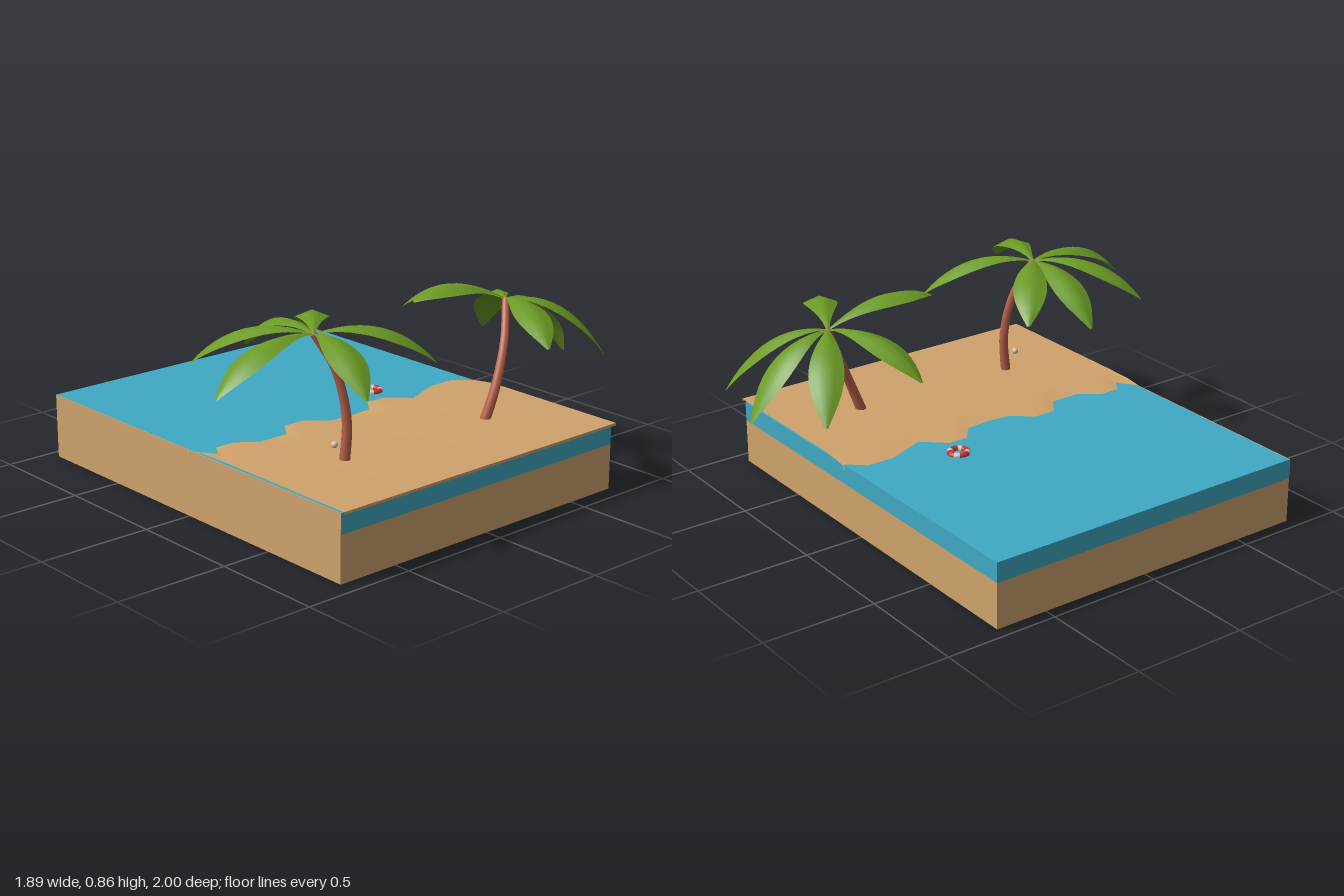
import * as THREE from 'three';
import { toCreasedNormals } from 'three/addons/utils/BufferGeometryUtils.js';

const mat = (color, side = THREE.FrontSide) => new THREE.MeshStandardMaterial({ color, side });
const SAND = mat(0xd0a36c, THREE.DoubleSide);
const WATER = mat(0x3fa9c4);
const WOOD = mat(0xb8604a);
const LEAF = mat(0x6b9a24, THREE.DoubleSide);
const RED = mat(0xc8352c);
const WHITE = mat(0xcccccc);
const ORANGE = mat(0xd9731f);
const SHELL = mat(0xd8c4ae);
const V = (x, y, z) => new THREE.Vector3(x, y, z);

function add(parent, name, geometry, material, x = 0, y = 0, z = 0) {
  const mesh = new THREE.Mesh(geometry, material);
  mesh.name = name;
  mesh.position.set(x, y, z);
  parent.add(mesh);
}

// Surface through rows of points
function grid(rows) {
  const n = rows[0].length;
  const index = [];
  for (let r = 0; r < rows.length - 1; r++) {
    for (let c = 0; c < n - 1; c++) {
      const a = r * n + c;
      index.push(a, a + 1, a + n, a + 1, a + n + 1, a + n);
    }
  }
  const g = new THREE.BufferGeometry().setFromPoints(rows.flat());
  g.setIndex(index);
  g.computeVertexNormals();
  return g;
}

// Horizontal outline extruded upwards from y = 0
function slab(points, height, hole) {
  const toShape = (list) => list.map(([x, z]) => new THREE.Vector2(x, -z));
  const shape = new THREE.Shape(toShape(points));
  if (hole) shape.holes.push(new THREE.Path(toShape(hole)));
  return new THREE.ExtrudeGeometry(shape, { depth: height, bevelEnabled: false }).rotateX(-Math.PI / 2);
}

const rect = (x0, x1, z0, z1) => [[x0, z0], [x1, z0], [x1, z1], [x0, z1]];

// Trunk that follows a curve and narrows towards the crown
function trunkGeometry(points) {
  const curve = new THREE.CatmullRomCurve3(points);
  const segments = 14, sides = 10;
  const g = new THREE.TubeGeometry(curve, segments, 0.023, sides);
  const p = g.attributes.position;
  for (let i = 0; i < p.count; i++) {
    const t = Math.floor(i / (sides + 1)) / segments;
    const c = curve.getPointAt(t);
    const v = new THREE.Vector3().fromBufferAttribute(p, i).sub(c).multiplyScalar(1 - 0.35 * t).add(c);
    p.setXYZ(i, v.x, v.y, v.z);
  }
  g.computeVertexNormals();
  return g;
}

// Arched, pointed frond with a raised midrib, from crown to tip
function frondGeometry(crown, tip) {
  const lift = (tip.y - crown.y) * 0.4 + 0.15;
  const bend = crown.clone().lerp(tip, 0.6).setY(crown.y + lift);
  const curve = new THREE.QuadraticBezierCurve3(crown, bend, tip);
  const side = V(tip.x - crown.x, 0, tip.z - crown.z).normalize().cross(V(0, 1, 0));
  const rows = [];
  for (let i = 0; i <= 12; i++) {
    const t = i / 12;
    const half = 0.006 + 0.068 * Math.sin(Math.PI * Math.pow(t, 1.25));
    const c = curve.getPoint(t);
    rows.push([-1, -0.5, 0, 0.5, 1].map((s) =>
      c.clone().addScaledVector(side, s * half).add(V(0, -Math.abs(s) * half * 0.4, 0))));
  }
  return grid(rows);
}

function palm(name, trunk, tips) {
  const group = new THREE.Group();
  group.name = name;
  const crown = trunk[trunk.length - 1];
  add(group, 'trunk', trunkGeometry(trunk), WOOD);
  add(group, 'crownBud', new THREE.SphereGeometry(0.014, 10, 8), WOOD, crown.x, crown.y - 0.006, crown.z);
  tips.forEach((t) => add(group, 'frond', frondGeometry(crown, V(...t)), LEAF));
  return group;
}

export function createModel() {
  const model = new THREE.Group();
  model.name = 'beachScene';

  // Hollow base, seabed and water
  const outer = rect(-0.945, 0.926, -0.735, 0.778);
  const inner = rect(-0.942, 0.923, -0.732, 0.775);
  add(model, 'baseWalls', slab(outer, 0.2, inner), SAND);
  add(model, 'seabed', slab(inner, 0.004), SAND, 0, 0.195, 0);
  add(model, 'water', slab(outer, 0.087), WATER, 0, 0.2, 0);
  add(model, 'frontPanel', new THREE.BoxGeometry(1.871, 0.287, 0.004), SAND, -0.0095, 0.1435, 0.779);

  // Underside of the beach, bulging just below the seabed
  add(model, 'beachUnderside', slab([[0.91, -0.72], [0.91, 0.73], [0.64, 0.72], [0.23, 0.68],
    [-0.01, 0.38], [0.02, -0.26], [0.13, -0.44], [0.14, -0.72]], 0.01), SAND, 0, 0.187, 0);

  // Beach with scalloped shore dipping into the water
  const shore = [[0.12, -0.74], [0.045, -0.655], [0.045, -0.53], [0.115, -0.36], [0.025, -0.26],
    [0.025, -0.17], [0.1, -0.11], [0.11, 0], [0.1, 0.11], [0.025, 0.2], [0.025, 0.3], [0.11, 0.36],
    [0.11, 0.5], [0.045, 0.59], [0.045, 0.68], [0.11, 0.72], [0.02, 0.782]];
  const beach = grid(shore.map(([x, z]) => [
    V(0.946, 0.286, z), V(0.946, 0.298, z), V(0.24, 0.299, z),
    V(x + 0.08, 0.296, z), V(x, 0.286, z), V(x - 0.01, 0.265, z)]));
  add(model, 'beach', toCreasedNormals(beach, 0.6), SAND);

  // Palms
  model.add(palm('backPalm',
    [V(0.54, 0.27, -0.365), V(0.55, 0.42, -0.42), V(0.515, 0.6, -0.505), V(0.43, 0.757, -0.597)],
    [[0.405, 0.442, -1], [0.68, 0.49, -0.96], [0.055, 0.505, -0.85],
      [-0.055, 0.645, -0.455], [0.375, 0.82, -0.107], [0.885, 0.68, -0.375]]));
  model.add(palm('frontPalm',
    [V(0.525, 0.27, 0.405), V(0.525, 0.47, 0.393), V(0.5, 0.67, 0.43), V(0.455, 0.822, 0.503)],
    [[0.715, 0.68, 0.085], [0.07, 0.7, 0.185], [-0.03, 0.66, 0.45],
      [0.08, 0.68, 0.825], [0.47, 0.665, 1], [0.918, 0.695, 0.645]]));
  add(model, 'coconut', new THREE.SphereGeometry(0.014, 12, 8), SHELL, 0.525, 0.373, 0.457);

  // Life ring of alternating red and pale arcs
  const ring = new THREE.Group();
  ring.name = 'lifeRing';
  ring.position.set(-0.07, 0.29, -0.287);
  for (let i = 0; i < 4; i++) {
    const start = i * Math.PI / 2;
    const arcs = [['redArc', RED, 1.0, start - 0.5], ['paleArc', WHITE, Math.PI / 2 - 1, start + 0.5]];
    for (const [name, material, arc, turn] of arcs) {
      const g = new THREE.TorusGeometry(0.037, 0.014, 10, 8, arc).rotateX(-Math.PI / 2).rotateY(turn);
      add(ring, name, g, material);
    }
  }
  model.add(ring);

  // Small orange sea creatures under the seabed
  for (const [x, z] of [[-0.41, 0.475], [-0.545, -0.2]]) {
    add(model, 'seaCreature', new THREE.SphereGeometry(0.025, 8, 6).scale(1, 0.7, 1), ORANGE, x, 0.188, z);
  }
  return model;
}
